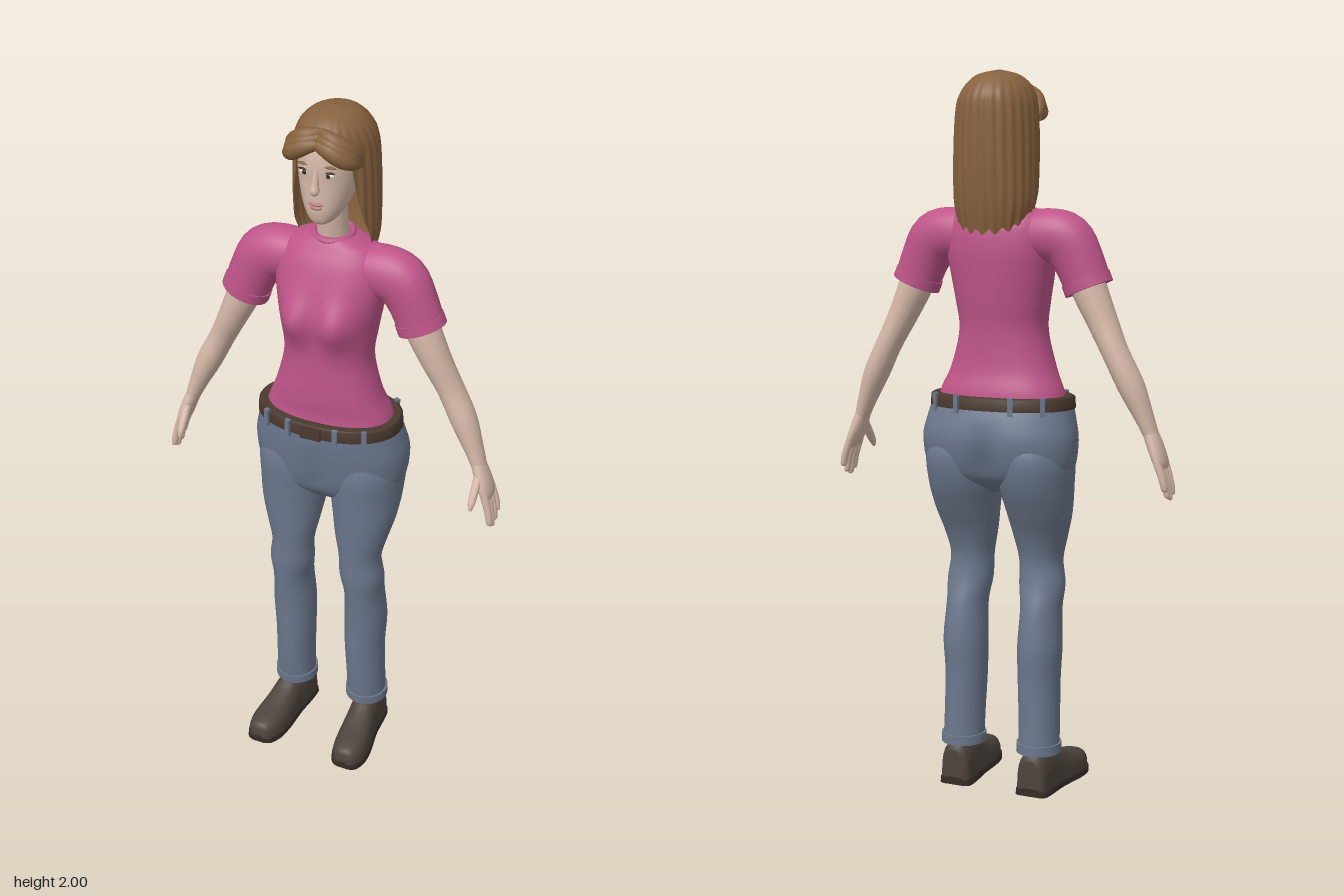
import * as THREE from 'three';

const mat = (name, color, side = THREE.FrontSide) => {
  const m = new THREE.MeshStandardMaterial({ color, side });
  m.name = name;
  return m;
};

// Catmull-Rom curve through four numbers
function spline(a, b, c, d, t) {
  const k1 = c - a;
  const k2 = 2 * a - 5 * b + 4 * c - d;
  const k3 = 3 * (b - c) + d - a;
  return b + 0.5 * t * (k1 + t * (k2 + t * k3));
}

// Smooth curve through rows of numbers
function smooth(rows, n = 4) {
  const out = [], last = rows.length - 1;
  for (let i = 0; i < last; i++) {
    const a = rows[Math.max(i - 1, 0)], b = rows[i], c = rows[i + 1], d = rows[Math.min(i + 2, last)];
    for (let k = 0; k < n; k++) {
      const row = b.map((_, j) => spline(a[j], b[j], c[j], d[j], k / n));
      out.push(row);
    }
  }
  out.push(rows[last]);
  return out;
}

// Skin over rings of points; closed rings get flat end caps
function loft(rings, closed = true) {
  const pos = [], idx = [], n = rings[0].length;
  rings.forEach(r => r.forEach(p => pos.push(p.x, p.y, p.z)));
  for (let i = 0; i < rings.length - 1; i++) {
    for (let j = 0; j < (closed ? n : n - 1); j++) {
      const a = i * n + j, b = i * n + (j + 1) % n, c = a + n, d = b + n;
      idx.push(a, c, b, b, c, d);
    }
  }
  const cap = (ring, top) => {
    const s = pos.length / 3, m = new THREE.Vector3();
    ring.forEach(p => { pos.push(p.x, p.y, p.z); m.addScaledVector(p, 1 / n); });
    pos.push(m.x, m.y, m.z);
    for (let j = 0; j < n; j++) {
      const k = (j + 1) % n;
      if (top) idx.push(s + k, s + j, s + n);
      else idx.push(s + j, s + k, s + n);
    }
  };
  if (closed) {
    cap(rings[0], false);
    cap(rings[rings.length - 1], true);
  }
  const g = new THREE.BufferGeometry();
  g.setAttribute('position', new THREE.Float32BufferAttribute(pos, 3));
  g.setIndex(idx);
  g.computeVertexNormals();
  return g;
}

const pw = (v, p) => Math.sign(v) * Math.pow(Math.abs(v), p);
const bell = (v, w) => Math.exp(-(v / w) * (v / w));
const circle = (n, fn) => Array.from({ length: n }, (_, j) => fn(j / n * Math.PI * 2));

// Upright body: rows of [y, centre x, half width, front z, back z]
function body(rows, { p = 1, n = 40, steps = 4, warp = v => v } = {}) {
  const rings = smooth(rows, steps).map(([y, cx, rx, zf, zb]) => circle(n, t => {
    const z = (zf + zb) / 2 + (zf - zb) / 2 * pw(Math.sin(t), p);
    return warp(new THREE.Vector3(cx + rx * pw(Math.cos(t), p), y, z));
  }));
  return loft(rings);
}

// Limb along a path: rows of [x, y, z, side radius, depth radius]
function limb(rows, n = 20) {
  const r = smooth(rows);
  const rings = r.map(([x, y, z, ru, rv], i) => {
    const a = r[Math.max(i - 1, 0)], b = r[Math.min(i + 1, r.length - 1)];
    const d = new THREE.Vector3(b[0] - a[0], b[1] - a[1], b[2] - a[2]).normalize();
    const v = new THREE.Vector3(0, 0, 1).addScaledVector(d, -d.z).normalize();
    const u = d.clone().cross(v);
    return circle(n, t => new THREE.Vector3(x, y, z)
      .addScaledVector(u, ru * Math.cos(t)).addScaledVector(v, rv * Math.sin(t)));
  });
  return loft(rings);
}

// Shoe layer, front to back: rows of [z, centre x, half width, height]
function shoeLayer(rows, y0, p) {
  const rings = smooth(rows).map(([z, cx, w, h]) => circle(24, t => {
    const up = Math.pow(Math.max(0, Math.sin(t)), p);
    return new THREE.Vector3(cx + w * pw(Math.cos(t), 0.8), y0 + h * up, z);
  }));
  return loft(rings);
}

function blob(x, y, z, sx, sy, sz) {
  return new THREE.SphereGeometry(1, 16, 10).scale(sx, sy, sz).translate(x, y, z);
}

function mirrored(g) {
  const m = g.clone().scale(-1, 1, 1), a = m.index.array;
  for (let i = 0; i < a.length; i += 3) {
    const first = a[i];
    a[i] = a[i + 1];
    a[i + 1] = first;
  }
  return m;
}

export function createModel() {
  const root = new THREE.Group();
  root.name = 'woman';
  const skin = mat('skin', 0xd6b9a8), shirt = mat('pink shirt', 0xbf5589), jeans = mat('denim', 0x6c788d);
  const hair = mat('brown hair', 0x87623f, THREE.DoubleSide), belt = mat('belt leather', 0x4a3a2f);
  const shoe = mat('shoe leather', 0x4d443d), sole = mat('sole', 0x352c29);
  const white = mat('eye white', 0xe8e4e0), dark = mat('iris brown', 0x3a2a20), lip = mat('lips', 0xb58078);
  const add = (name, g, m) => {
    const mesh = new THREE.Mesh(g, m);
    mesh.name = name;
    root.add(mesh);
  };
  const pair = (name, g, m) => { add('left' + name, g, m); add('right' + name, mirrored(g), m); };

  // Shirt body with bust, and collar
  const bust = v => {
    const front = Math.min(1, Math.max(0, v.z / 0.04));
    v.z += front * 0.036 * bell(Math.abs(v.x) - 0.06, 0.05) * bell(v.y - 1.425, 0.065);
    return v;
  };
  add('shirtBody', body([
    [1.10, 0, 0.188, 0.075, -0.145], [1.14, 0, 0.176, 0.07, -0.14], [1.2, 0, 0.15, 0.073, -0.125],
    [1.3, 0, 0.125, 0.07, -0.122], [1.38, 0, 0.133, 0.07, -0.132], [1.45, 0, 0.145, 0.072, -0.14],
    [1.52, 0, 0.155, 0.062, -0.145], [1.58, 0, 0.15, 0.042, -0.14], [1.62, 0, 0.125, 0.02, -0.125],
    [1.64, 0, 0.085, 0.008, -0.115], [1.65, 0, 0.055, 0.0, -0.105]
  ], { p: 0.88, n: 64, steps: 6, warp: bust }), shirt);
  const collar = new THREE.TorusGeometry(0.052, 0.009, 10, 32).rotateX(Math.PI / 2 + 0.12);
  add('collar', collar.translate(0, 1.648, -0.05), shirt);

  // Sleeves, hems and arms
  pair('Sleeve', limb([
    [0.07, 1.555, -0.05, 0.068, 0.065], [0.14, 1.56, -0.05, 0.073, 0.068], [0.195, 1.545, -0.048, 0.076, 0.065],
    [0.23, 1.492, -0.046, 0.069, 0.06], [0.258, 1.425, -0.045, 0.065, 0.057]
  ], 32), shirt);
  pair('SleeveHem', limb([[0.249, 1.447, -0.045, 0.069, 0.061], [0.26, 1.42, -0.045, 0.069, 0.061]], 32), shirt);
  pair('Arm', limb([
    [0.24, 1.47, -0.045, 0.045, 0.046], [0.262, 1.415, -0.045, 0.048, 0.048], [0.302, 1.33, -0.048, 0.041, 0.044],
    [0.342, 1.25, -0.055, 0.036, 0.04], [0.385, 1.165, -0.052, 0.036, 0.04], [0.42, 1.085, -0.046, 0.026, 0.031],
    [0.44, 1.035, -0.042, 0.02, 0.027]
  ]), skin);

  // Hands
  pair('Palm', limb([
    [0.436, 1.045, -0.042, 0.02, 0.027], [0.452, 1.005, -0.04, 0.02, 0.036],
    [0.467, 0.965, -0.04, 0.017, 0.041], [0.474, 0.945, -0.04, 0.01, 0.036]
  ]), skin);
  [[-0.07, 0.072], [-0.05, 0.092], [-0.03, 0.1], [-0.01, 0.088]].forEach(([z, len], i) => {
    pair('Finger' + (i + 1), limb([
      [0.467, 0.965, z, 0.011, 0.011], [0.482, 0.96 - len * 0.5, z, 0.0105, 0.0105],
      [0.489, 0.96 - len * 0.92, z + 0.002, 0.009, 0.009], [0.489, 0.96 - len, z + 0.002, 0.003, 0.003]
    ], 10), skin);
  });
  pair('Thumb', limb([
    [0.446, 1.015, -0.022, 0.013, 0.014], [0.446, 0.98, 0.006, 0.012, 0.013],
    [0.446, 0.952, 0.027, 0.01, 0.01], [0.446, 0.935, 0.036, 0.004, 0.004]
  ], 10), skin);

  // Jeans: hips creased at the middle, legs and turned hems
  const crease = v => {
    const k = Math.max(0, 1 - Math.abs(v.y - 0.93) / 0.13) * bell(v.x, 0.035);
    v.z += k * (v.z < -0.04 ? 0.028 : -0.012);
    return v;
  };
  add('hips', body([
    [0.85, 0, 0.09, 0.025, -0.08], [0.88, 0, 0.16, 0.055, -0.135], [0.92, 0, 0.212, 0.072, -0.17],
    [1.0, 0, 0.225, 0.086, -0.188], [1.06, 0, 0.214, 0.092, -0.178], [1.105, 0, 0.202, 0.094, -0.162]
  ], { p: 0.9, n: 64, warp: crease }), jeans);
  pair('Leg', body([
    [0.12, 0.117, 0.058, 0.014, -0.108], [0.2, 0.116, 0.057, 0.024, -0.106], [0.32, 0.113, 0.059, 0.032, -0.104],
    [0.42, 0.115, 0.062, 0.036, -0.108], [0.52, 0.114, 0.057, 0.046, -0.096], [0.59, 0.111, 0.065, 0.054, -0.076],
    [0.66, 0.106, 0.062, 0.056, -0.07], [0.73, 0.107, 0.077, 0.061, -0.09], [0.8, 0.11, 0.092, 0.065, -0.125],
    [0.88, 0.108, 0.103, 0.07, -0.162], [0.96, 0.108, 0.104, 0.074, -0.175], [1.03, 0.1, 0.08, 0.06, -0.15]
  ]), jeans);
  pair('JeansHem', body([[0.115, 0.117, 0.063, 0.019, -0.113], [0.142, 0.117, 0.063, 0.021, -0.113]], { steps: 1 }), jeans);

  // Belt, buckle and loops
  add('belt', body([
    [1.086, 0, 0.203, 0.095, -0.164], [1.09, 0, 0.209, 0.1, -0.169],
    [1.12, 0, 0.207, 0.099, -0.167], [1.124, 0, 0.2, 0.093, -0.16]
  ], { p: 0.9, n: 64, steps: 1 }), belt);
  add('buckle', new THREE.BoxGeometry(0.06, 0.038, 0.008).translate(0, 1.105, 0.101), belt);
  [[0.07, 1], [0.145, 1], [0.08, -1], [0.16, -1]].forEach(([x, s], i) => {
    const t = Math.acos(pw(x / 0.208, 1 / 0.9)), z = -0.034 + s * 0.135 * pw(Math.sin(t), 0.9);
    const g = new THREE.BoxGeometry(0.014, 0.05, 0.012).rotateY(s * Math.atan2(x, 0.3));
    pair('BeltLoop' + (i + 1), g.translate(x, 1.103, z), jeans);
  });

  // Shoes
  const shoeRows = [
    [0.184, 0.14, 0.014, 0.018], [0.174, 0.14, 0.034, 0.04], [0.14, 0.138, 0.049, 0.052], [0.09, 0.134, 0.052, 0.063],
    [0.04, 0.129, 0.048, 0.082], [0, 0.125, 0.045, 0.103], [-0.05, 0.121, 0.046, 0.112],
    [-0.1, 0.118, 0.044, 0.105], [-0.114, 0.118, 0.03, 0.085]
  ];
  pair('Shoe', shoeLayer(shoeRows, 0.018, 0.75), shoe);
  pair('Sole', shoeLayer(shoeRows.map(([z, x, w]) => [z * 1.01, x, w + 0.004, 0.022]), 0, 0.25), sole);

  // Neck, head and nose
  add('neck', limb([[0, 1.61, -0.06, 0.05, 0.05], [0, 1.66, -0.048, 0.042, 0.043], [0, 1.77, -0.035, 0.042, 0.045]]), skin);
  add('head', body([
    [1.708, 0, 0.018, 0.043, 0.005], [1.718, 0, 0.034, 0.053, -0.03], [1.745, 0, 0.053, 0.06, -0.07],
    [1.78, 0, 0.067, 0.061, -0.1], [1.83, 0, 0.079, 0.061, -0.13], [1.87, 0, 0.082, 0.063, -0.14],
    [1.92, 0, 0.078, 0.055, -0.13], [1.96, 0, 0.05, 0.02, -0.1]
  ], { p: 0.92 }), skin);
  add('nose', limb([
    [0, 1.802, 0.06, 0.007, 0.008], [0, 1.81, 0.066, 0.013, 0.014], [0, 1.825, 0.064, 0.01, 0.011], [0, 1.865, 0.057, 0.007, 0.008]
  ], 12), skin);

  // Eyes, brows and lips
  pair('Eye', blob(0.033, 1.853, 0.054, 0.015, 0.007, 0.005), white);
  pair('Iris', blob(0.033, 1.853, 0.057, 0.006, 0.0065, 0.004), dark);
  pair('Lash', blob(0.034, 1.861, 0.055, 0.017, 0.0025, 0.005), dark);
  pair('Brow', blob(0.035, 1.876, 0.055, 0.02, 0.0035, 0.005), hair);
  add('upperLip', blob(0, 1.771, 0.06, 0.021, 0.005, 0.008), lip);
  add('lowerLip', blob(0, 1.761, 0.059, 0.017, 0.006, 0.008), lip);

  // Long hair: full crown, then a curtain open around the face
  const hairRows = smooth([ // y, half width, front z, back z, half opening angle
    [1.57, 0.1, 0.0, -0.165, 1.35], [1.64, 0.114, 0.02, -0.178, 1.2], [1.74, 0.116, 0.035, -0.185, 0.95],
    [1.83, 0.114, 0.042, -0.186, 0.8], [1.9, 0.109, 0.046, -0.184, 0.7], [1.935, 0.1, 0.05, -0.177, 0.25],
    [1.965, 0.082, 0.035, -0.155, 0.02], [1.988, 0.052, 0.0, -0.12, 0], [2.0, 0.002, -0.054, -0.058, 0]
  ], 5);
  const hairRings = hairRows.map(([y, rx, zf, zb, gap]) => Array.from({ length: 145 }, (_, j) => {
    const t = Math.PI / 2 + gap + j / 144 * (Math.PI * 2 - gap * 2);
    const r = 1 + 0.014 * Math.sin(t * 26) * Math.min(1, (2 - y) * 12);
    const low = Math.max(0, (1.7 - y) / 0.13);
    const lift = low * (0.035 * (1 + Math.sin(t)) + 0.007 * Math.sin(t * 17));
    return new THREE.Vector3(rx * r * Math.cos(t), y + lift, (zf + zb) / 2 + (zf - zb) / 2 * r * Math.sin(t));
  }));
  add('hair', loft(hairRings, false), hair);

  // Swept fringe: overlapping locks from the parting
  for (let i = 0; i < 3; i++) {
    const o = i * 0.012;
    pair('FringeLock' + (i + 1), limb([
      [0, 1.955 - o, 0.03 + o, 0.014, 0.014], [0.035, 1.945 - o, 0.045 + o * 0.6, 0.022, 0.02],
      [0.068, 1.925 - o, 0.034 + o * 0.7, 0.023, 0.022], [0.088, 1.9 - o * 0.6, 0.01 + o * 0.7, 0.017, 0.018],
      [0.096, 1.878 - o * 0.3, -0.01, 0.006, 0.008]
    ], 16), hair);
  }
  return root;
}
